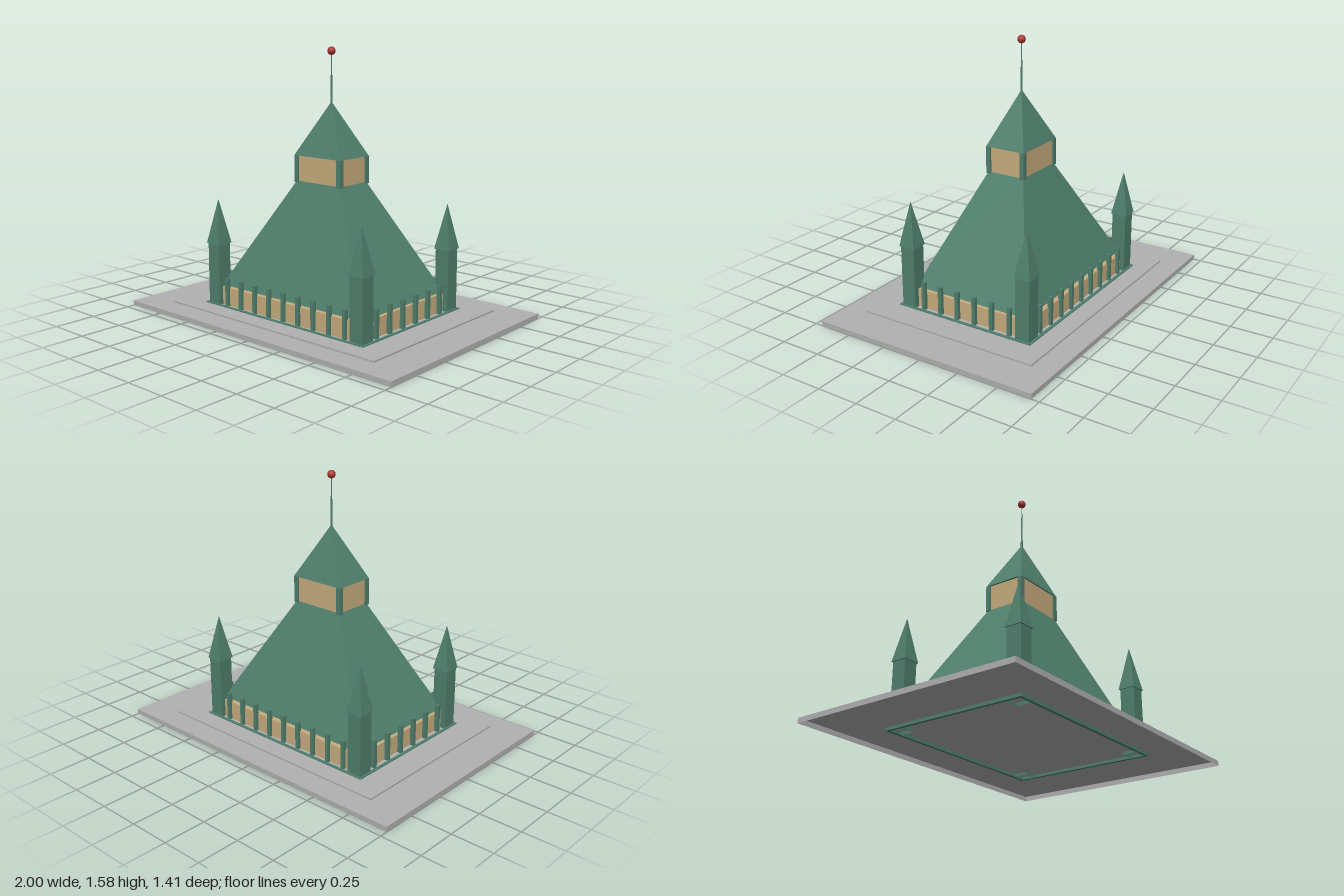
import * as THREE from 'three';

const mat = (name, color) => {
  const m = new THREE.MeshStandardMaterial({ color, side: THREE.DoubleSide });
  m.name = name;
  return m;
};

// Box between two heights, whose top can shrink to make a hipped roof or spire
function taperedBox(w, d, y0, y1, topW = w, topD = d) {
  const g = new THREE.BoxGeometry(w, y1 - y0, d).translate(0, (y0 + y1) / 2, 0);
  const p = g.attributes.position;
  const mid = (y0 + y1) / 2;
  for (let i = 0; i < p.count; i++) {
    if (p.getY(i) > mid) {
      p.setX(i, Math.sign(p.getX(i)) * topW / 2);
      p.setZ(i, Math.sign(p.getZ(i)) * topD / 2);
    }
  }
  g.computeVertexNormals();
  return g;
}

// Drop the underside of a box, leaving it hollow
function openBottom(g) {
  const index = Array.from(g.index.array);
  index.splice(18, 6);
  g.setIndex(index);
  g.clearGroups();
  return g;
}

export function createModel() {
  const model = new THREE.Group();
  model.name = 'pavilion';
  const green = mat('green metal', 0x4f7f6d);
  const tan = mat('tan wall', 0xc8ad7e);
  const grey = mat('grey paving', 0xb1b1b1);
  const red = mat('red ball', 0xa83632);

  const add = (name, geometry, material, x = 0, z = 0, parent = model) => {
    const mesh = new THREE.Mesh(geometry, material);
    mesh.name = name;
    mesh.position.set(x, 0, z);
    parent.add(mesh);
    return mesh;
  };
  const corners = [[-1, -1], [1, -1], [-1, 1], [1, 1]];

  // Paving, hollow underneath
  add('lowerSlab', openBottom(taperedBox(2, 1.406, 0, 0.03)), grey);
  add('upperSlab', taperedBox(1.56, 1.126, 0.03, 0.04), grey);

  // Kerb around the building
  for (const s of [-1, 1]) {
    add('kerbLong', taperedBox(1.23, 0.018, 0.012, 0.046), green, 0, s * 0.441);
    add('kerbShort', taperedBox(0.018, 0.864, 0.012, 0.046), green, s * 0.606, 0);
  }

  // Hall walls and main hipped roof
  add('hallWalls', taperedBox(1.134, 0.818, 0.04, 0.15), tan);
  add('mainRoof', taperedBox(1.09, 0.758, 0.15, 0.8, 0.33, 0.236), green);

  // Free-standing posts along all four sides
  const post = taperedBox(0.023, 0.023, 0.04, 0.21);
  for (const s of [-1, 1]) {
    for (let i = -4; i <= 4; i++) add('post', post, green, i * 0.115, s * 0.415);
    for (let i = 0; i < 6; i++) add('post', post, green, s * 0.579, (i - 2.5) * 0.1175);
  }

  // Corner towers with pointed caps
  const shaft = openBottom(taperedBox(0.09, 0.09, 0.012, 0.412));
  const spire = taperedBox(0.104, 0.104, 0.41, 0.675, 0.001, 0.001);
  for (const [sx, sz] of corners) {
    const tower = new THREE.Group();
    tower.name = 'cornerTower';
    tower.position.set(sx * 0.555, 0, sz * 0.391);
    add('towerShaft', shaft, green, 0, 0, tower);
    add('towerSpire', spire, green, 0, 0, tower);
    model.add(tower);
  }

  // Lantern: recessed panels between corner posts
  add('lanternPanels', taperedBox(0.334, 0.238, 0.79, 0.95), tan);
  const lanternPost = taperedBox(0.03, 0.028, 0.79, 0.95);
  for (const [sx, sz] of corners) add('lanternPost', lanternPost, green, sx * 0.163, sz * 0.114);
  add('lanternRoof', taperedBox(0.356, 0.256, 0.95, 1.265, 0.001, 0.001), green);

  // Mast in two stages, with a ball on top
  const lower = new THREE.CylinderGeometry(0.004, 0.007, 0.2, 8).translate(0, 1.34, 0);
  const upper = new THREE.CylinderGeometry(0.0025, 0.0035, 0.12, 8).translate(0, 1.49, 0);
  add('mastLower', lower, green);
  add('mastUpper', upper, green);
  add('mastBall', new THREE.SphereGeometry(0.024, 20, 14).translate(0, 1.557, 0), red);

  return model;
}
